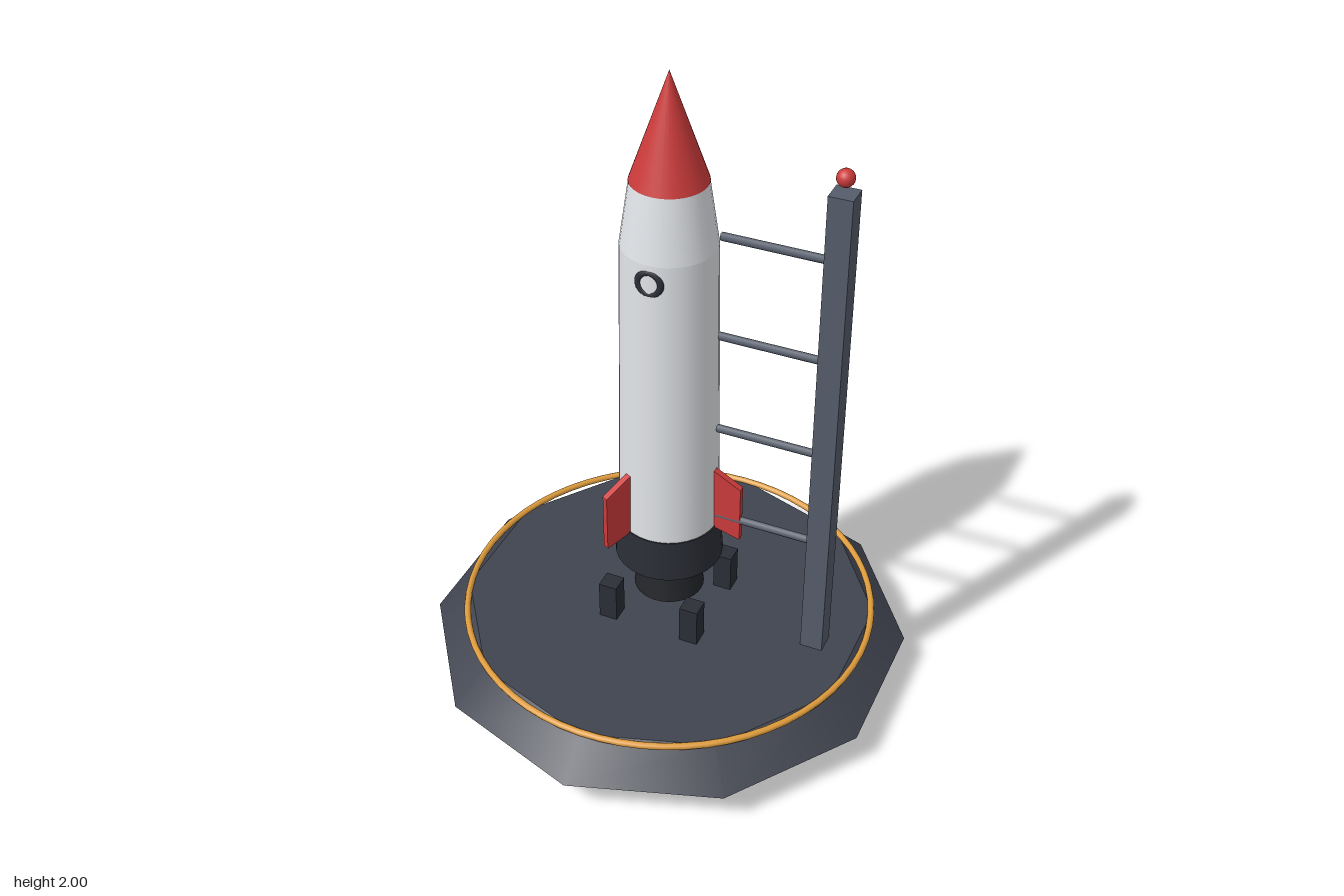
import * as THREE from 'three';

const mat = (color) => new THREE.MeshStandardMaterial({ color });
const white = mat(0xe2e5e9), red = mat(0xcc3b3b), dark = mat(0x2b2e36), black = mat(0x222428);
const slate = mat(0x40444f), steel = mat(0x555d6b), amber = mat(0xdf9c3c);

export function createModel() {
  const model = new THREE.Group();

  const add = (name, geometry, material, x = 0, y = 0, z = 0, parent = model) => {
    const mesh = new THREE.Mesh(geometry, material);
    mesh.name = name;
    mesh.position.set(x, y, z);
    parent.add(mesh);
    return mesh;
  };
  // Tapered round section given by its bottom and top heights
  const section = (name, material, y0, y1, r0, r1, sides = 32) =>
    add(name, new THREE.CylinderGeometry(r1, r0, y1 - y0, sides), material, 0, (y0 + y1) / 2);

  // Launch pad with its marking ring
  section('pad', slate, 0.115, 0.22, 0.735, 0.63, 10);
  add('padRing', new THREE.TorusGeometry(0.625, 0.01, 8, 64), amber, 0, 0.224).rotation.x = Math.PI / 2;

  // Four support blocks under the rocket
  for (const sx of [-1, 1]) for (const sz of [-1, 1]) {
    add('supportBlock', new THREE.BoxGeometry(0.057, 0.13, 0.057), dark, sx * 0.133, 0.28, sz * 0.133);
  }

  // Rocket, from the nozzle up
  section('nozzle', black, 0.295, 0.44, 0.107, 0.07);
  section('engineSkirt', dark, 0.433, 0.567, 0.163, 0.154);
  section('body', white, 0.567, 1.5, 0.15, 0.136);
  section('shoulder', white, 1.5, 1.69, 0.136, 0.108);
  add('noseCone', new THREE.ConeGeometry(0.109, 0.31, 32), red, 0, 1.845);

  // Porthole rim, partly sunk into the body
  add('portholeRim', new THREE.TorusGeometry(0.033, 0.01, 10, 32), dark, 0, 1.443, 0.129);

  // Three swept fins
  const finShape = new THREE.Shape([[0.13, 0.567], [0.23, 0.54], [0.23, 0.725], [0.13, 0.78]]
    .map(([x, y]) => new THREE.Vector2(x, y)));
  const finGeometry = new THREE.ExtrudeGeometry(finShape, { depth: 0.02, bevelEnabled: false });
  finGeometry.translate(0, 0, -0.01);
  for (let i = 0; i < 3; i++) add('fin', finGeometry, red).rotation.y = (i * Math.PI * 2) / 3;

  // Service tower with arms and a beacon
  const tower = new THREE.Group();
  tower.name = 'serviceTower';
  model.add(tower);
  add('mast', new THREE.BoxGeometry(0.068, 1.757, 0.066), steel, 0.48, 0.8785, 0, tower);
  for (let i = 0; i < 4; i++) {
    const arm = add('arm', new THREE.CylinderGeometry(0.012, 0.012, 0.33, 6), steel, 0.315, 0.607 + i * 0.3155, 0, tower);
    arm.rotation.z = Math.PI / 2;
  }
  add('beacon', new THREE.SphereGeometry(0.025, 16, 12), red, 0.48, 1.8, 0, tower);

  return model;
}
